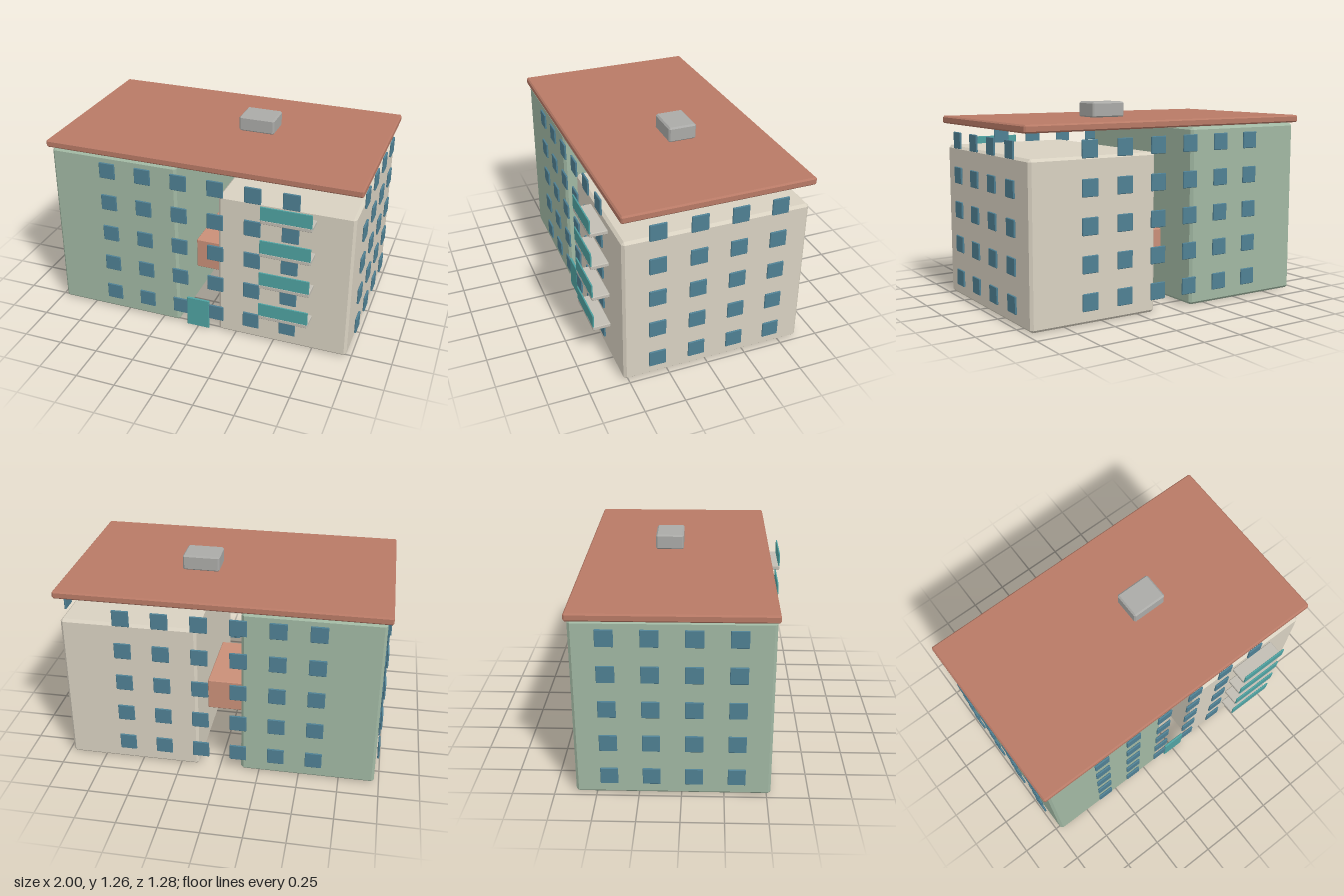
import * as THREE from 'three';
import { ConvexGeometry } from 'three/addons/geometries/ConvexGeometry.js';

const material = (color) => new THREE.MeshStandardMaterial({ color, flatShading: true });

// Box with every edge cut at 45 degrees
function chamferBox(w, h, d, c) {
  const points = [];
  for (const x of [-1, 1]) for (const y of [-1, 1]) for (const z of [-1, 1]) {
    const [a, b, e] = [w / 2, h / 2, d / 2];
    points.push(
      new THREE.Vector3(x * a, y * (b - c), z * (e - c)),
      new THREE.Vector3(x * (a - c), y * b, z * (e - c)),
      new THREE.Vector3(x * (a - c), y * (b - c), z * e));
  }
  return new ConvexGeometry(points);
}

export function createModel() {
  const model = new THREE.Group();
  model.name = 'apartmentBlock';

  const green = material(0xa1b8a3);
  const cream = material(0xd8d1c1);
  const terracotta = material(0xb87a66);
  const orange = material(0xc98f78);
  const glass = material(0x4f8093);
  const teal = material(0x4fa2a1);
  const concrete = material(0xc2beb4);
  const grey = material(0xaaaaa7);

  // Adds a part spanning the given ranges
  function part(name, mat, [x0, x1], [y0, y1], [z0, z1], chamfer, parent = model) {
    const mesh = new THREE.Mesh(chamferBox(x1 - x0, y1 - y0, z1 - z0, chamfer), mat);
    mesh.position.set((x0 + x1) / 2, (y0 + y1) / 2, (z0 + z1) / 2);
    mesh.name = name;
    parent.add(mesh);
    return mesh;
  }

  // Two wings, the bridge between them and the shared roof
  part('tallWing', green, [-0.97, -0.135], [0, 1.108], [-0.624, 0.525], 0.016);
  part('lowWing', cream, [0.135, 0.97], [0, 0.972], [-0.624, 0.525], 0.016);
  part('bridge', orange, [-0.136, 0.136], [0.23, 0.44], [-0.31, 0.21], 0.006);
  part('roof', terracotta, [-1, 1], [1.113, 1.16], [-0.638, 0.538], 0.009);
  part('roofHousing', grey, [0.075, 0.305], [1.158, 1.256], [-0.197, -0.018], 0.01);

  // Entrance
  part('door', teal, [-0.075, 0.075], [0, 0.207], [0.527, 0.541], 0.003);

  // Windows on all four sides
  const windows = new THREE.Group();
  windows.name = 'windows';
  model.add(windows);
  const pane = chamferBox(0.104, 0.104, 0.012, 0.003);
  function addWindow(x, y, z, turn) {
    const mesh = new THREE.Mesh(pane, glass);
    mesh.position.set(x, y, z);
    mesh.rotation.y = turn;
    mesh.name = 'window';
    windows.add(mesh);
  }
  for (let floor = 0; floor < 5; floor++) {
    const y = 0.13 + floor * 0.221;
    for (let i = 0; i < 6; i++) {
      const x = (i - 2.5) * 0.236;
      addWindow(x, y, 0.533, 0);
      addWindow(x, y, -0.631, Math.PI);
    }
    for (let i = 0; i < 4; i++) {
      const z = -0.05 + (i - 1.5) * 0.248;
      addWindow(0.988, y, z, Math.PI / 2);
      addWindow(-0.988, y, z, -Math.PI / 2);
    }
  }

  // Balconies on the upper floors of the low wing
  for (let i = 0; i < 4; i++) {
    const y = 0.234 + i * 0.221;
    const balcony = new THREE.Group();
    balcony.name = 'balcony';
    model.add(balcony);
    part('balconySlab', concrete, [0.433, 0.743], [y, y + 0.026], [0.527, 0.638], 0.004, balcony);
    part('balconyRailing', teal, [0.433, 0.743], [y + 0.024, y + 0.112], [0.63, 0.639], 0.002, balcony);
  }

  return model;
}
